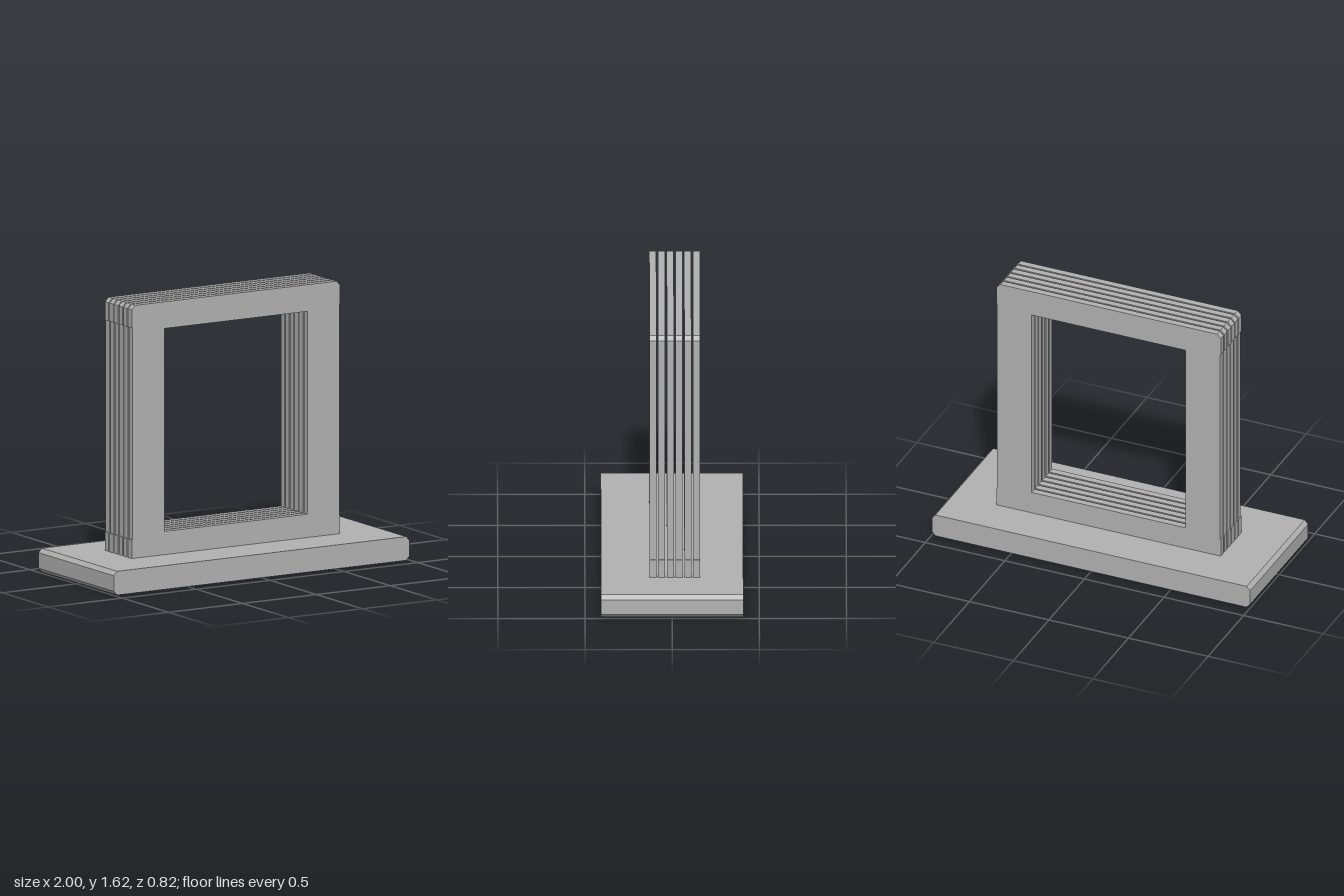
import * as THREE from 'three';

export function createModel() {
  const model = new THREE.Group();
  const grey = new THREE.MeshStandardMaterial({ color: 0xb2b2b2 });
  grey.name = 'grey';

  // Extrudes an outline along z, centred on z = 0
  const slab = (points, depth, hole) => {
    const shape = new THREE.Shape(points.map(([x, y]) => new THREE.Vector2(x, y)));
    if (hole) shape.holes.push(new THREE.Path(hole.map(([x, y]) => new THREE.Vector2(x, y))));
    const geometry = new THREE.ExtrudeGeometry(shape, { depth, bevelEnabled: false });
    return geometry.translate(0, 0, -depth / 2);
  };

  // Completes a right-hand outline (bottom to top) with its mirror image
  const mirrored = (right) => [...right, ...right.map(([x, y]) => [-x, y]).reverse()];

  // Base with chamfered ends
  const base = new THREE.Mesh(
    slab(mirrored([[0.978, 0], [1, 0.024], [1, 0.115], [0.978, 0.139]]), 0.816), grey);
  base.name = 'base';
  model.add(base);

  // Upright window frame: slightly waisted sides and clipped top corners
  const outline = mirrored([
    [0.705, 0.139], [0.705, 0.247], [0.7, 0.249], [0.7, 1.484],
    [0.705, 1.486], [0.705, 1.593], [0.681, 1.617],
  ]);
  const opening = [[-0.484, 0.275], [-0.484, 1.461], [0.484, 1.461], [0.484, 0.275]];
  const plateGeometry = slab(outline, 0.04, opening);

  // Six thin frame plates standing one behind the other
  const frame = new THREE.Group();
  frame.name = 'frame';
  for (let i = 0; i < 6; i++) {
    const plate = new THREE.Mesh(plateGeometry, grey);
    plate.name = `framePlate${i + 1}`;
    plate.position.z = 0.11 - 0.05 * i;
    frame.add(plate);
  }
  model.add(frame);
  return model;
}
